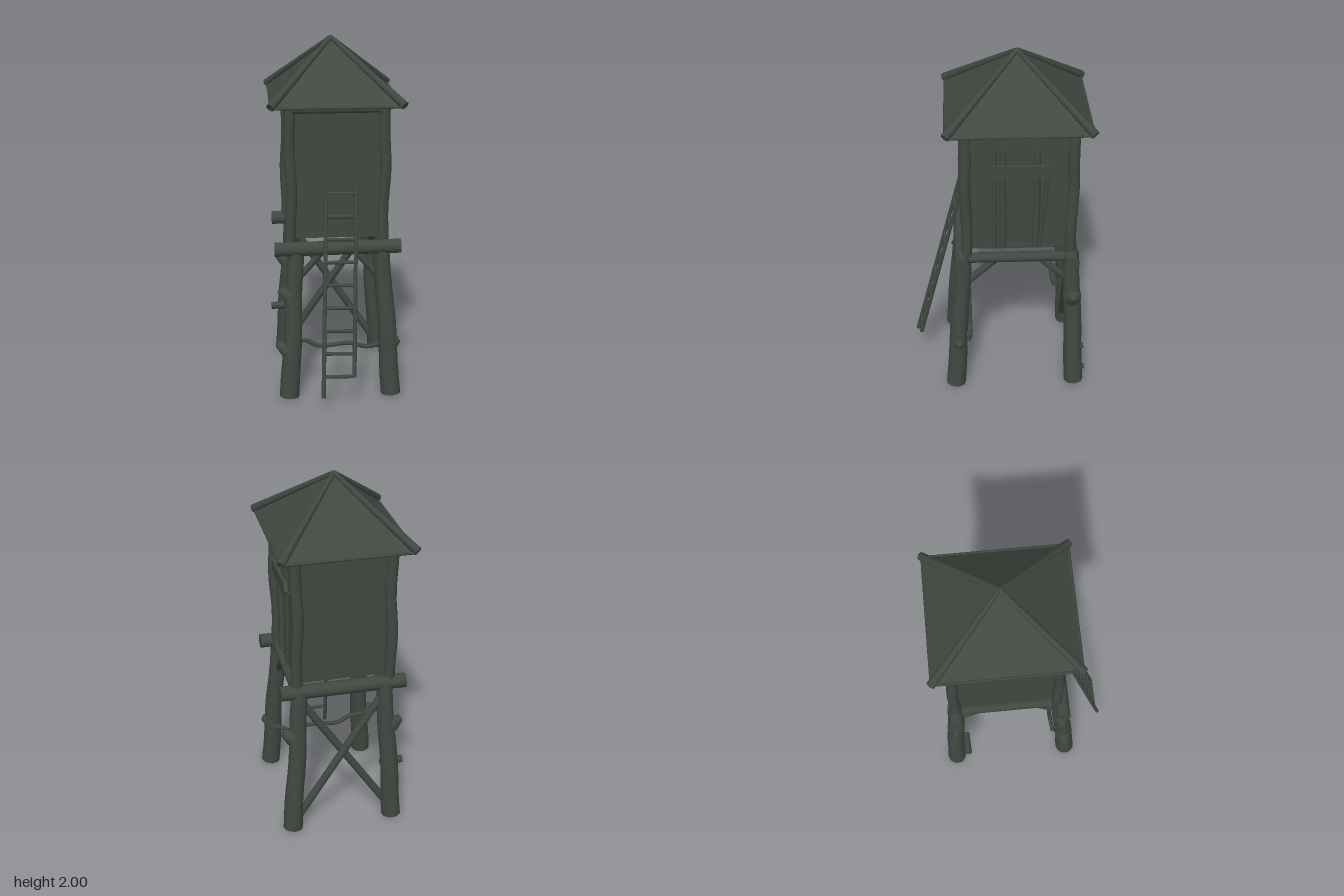
import * as THREE from 'three';

const wood = new THREE.MeshStandardMaterial({ color: 0x404841 });
wood.name = 'dark weathered wood';

export function createModel() {
  const root = new THREE.Group();
  root.name = 'watchtower';
  const V = (p) => new THREE.Vector3(...p);

  const add = (name, geo) => {
    const m = new THREE.Mesh(geo, wood);
    m.name = name;
    root.add(m);
    return m;
  };

  // Tapered round log between two points, with an optional gentle wobble
  const log = (name, a, b, r1, r2 = r1, wobble = 0, sides = 10) => {
    const A = V(a), B = V(b), d = B.clone().sub(A), len = d.length();
    const g = new THREE.CylinderGeometry(r2, r1, len, sides, wobble ? 10 : 1);
    if (wobble) {
      const p = g.attributes.position;
      for (let i = 0; i < p.count; i++) {
        const t = p.getY(i) / len + 0.5;
        const w = Math.sin(t * 8 + a[0] * 9 + a[2] * 5) * wobble * Math.sin(Math.PI * t);
        p.setX(i, p.getX(i) + w);
        p.setZ(i, p.getZ(i) + w * 0.8);
      }
      g.computeVertexNormals();
    }
    const m = add(name, g);
    m.position.copy(A).add(B).multiplyScalar(0.5);
    m.quaternion.setFromUnitVectors(new THREE.Vector3(0, 1, 0), d.normalize());
    return m;
  };

  const box = (name, x0, x1, y0, y1, z0, z1) => {
    const m = add(name, new THREE.BoxGeometry(x1 - x0, y1 - y0, z1 - z0));
    m.position.set((x0 + x1) / 2, (y0 + y1) / 2, (z0 + z1) / 2);
    return m;
  };

  // Splayed legs and the cabin corner posts above them
  const corners = [
    { foot: [-0.27, 0, 0.26], top: [-0.22, 0.88, 0.2], post: [-0.25, 0.185] },
    { foot: [0.31, 0, 0.26], top: [0.252, 0.88, 0.2], post: [0.265, 0.185] },
    { foot: [-0.27, 0, -0.435], top: [-0.22, 0.88, -0.395], post: [-0.25, -0.39] },
    { foot: [0.31, 0, -0.435], top: [0.252, 0.88, -0.395], post: [0.265, -0.39] },
  ];
  corners.forEach(({ foot, top, post: [x, z] }) => {
    log('leg', foot, top, 0.056, 0.045, 0.005, 12);
    log('cornerPost', [x, 0.88, z], [x, 1.67, z], 0.031, 0.033, 0.008);
  });

  // Broken branch stubs on the legs
  [[-0.265, 0.62, 0.22], [-0.28, 0.3, 0.24], [0.3, 0.31, 0.24],
    [-0.265, 0.62, -0.41], [0.3, 0.62, -0.41]].forEach(([x, y, z]) => {
    const s = Math.sign(x);
    log('branchStub', [x, y - 0.02, z], [x + s * 0.055, y + 0.01, z], 0.055, 0.018, 0, 7);
  });
  log('branchStub', [0.31, 0.24, -0.44], [0.31, 0.25, -0.485], 0.022, 0.015, 0, 7);
  log('branchStub', [0.31, 0.09, -0.45], [0.31, 0.09, -0.495], 0.022, 0.015, 0, 7);
  log('legPeg', [-0.22, 0.31, -0.36], [-0.35, 0.31, -0.355], 0.02, 0.022);

  // Platform beams
  log('frontBeam', [-0.34, 0.865, 0.215], [0.36, 0.87, 0.215], 0.04, 0.04, 0, 12);
  log('backBeam', [-0.34, 0.865, -0.395], [0.36, 0.87, -0.395], 0.04, 0.04, 0, 12);
  [-0.24, 0.265].forEach((x) => log('sideBeam', [x, 0.862, 0.21], [x, 0.862, -0.39], 0.029));

  // Crossed braces at the back, knee braces on the sides and front
  log('crossBrace', [0.28, 0.06, -0.43], [-0.2, 0.78, -0.4], 0.022);
  log('crossBrace', [-0.25, 0.06, -0.415], [0.23, 0.78, -0.385], 0.022);
  [-0.23, 0.26].forEach((x) => {
    log('kneeBrace', [x, 0.7, 0.18], [x, 0.85, 0.02], 0.02);
    log('kneeBrace', [x, 0.7, -0.38], [x, 0.85, -0.22], 0.02);
  });
  log('kneeBrace', [-0.2, 0.7, 0.2], [-0.07, 0.85, 0.2], 0.018);
  log('kneeBrace', [0.23, 0.7, 0.2], [0.1, 0.85, 0.2], 0.018);

  // Crooked branch tied between the front legs
  const branch = new THREE.CatmullRomCurve3([[-0.26, 0.3, 0.18], [-0.17, 0.3, 0.17],
    [-0.1, 0.265, 0.17], [0.08, 0.275, 0.17], [0.18, 0.25, 0.17], [0.29, 0.28, 0.19]].map(V));
  add('crookedBranch', new THREE.TubeGeometry(branch, 20, 0.013, 7));

  // Cabin walls with the floor at their lower edge
  box('cabin', -0.24, 0.262, 0.92, 1.67, -0.39, 0.19);
  [0.195, -0.395].forEach((z) => log('wallTopRail', [-0.25, 1.64, z], [0.265, 1.64, z], 0.02));
  log('wallTopRail', [-0.247, 1.64, 0.18], [-0.247, 1.64, -0.39], 0.02);

  // Boarded doorway on the left wall
  box('lintel', 0.255, 0.28, 1.53, 1.63, -0.36, 0.16);
  const gusset = new THREE.Shape([[-0.15, 1.53], [-0.15, 1.4], [-0.04, 1.53]]
    .map((p) => new THREE.Vector2(...p)));
  const gussetMesh = add('cornerGusset',
    new THREE.ExtrudeGeometry(gusset, { depth: 0.012, bevelEnabled: false }));
  gussetMesh.rotation.y = Math.PI / 2;
  gussetMesh.position.x = 0.262;
  [[0.03, 0.013], [-0.015, 0.019], [-0.195, 0.02]].forEach(([z, r]) =>
    log('doorPole', [0.272, 0.94, z], [0.272, 1.545, z], r, r, 0.003, 8));
  log('leaningPole', [0.28, 0.95, -0.215], [0.285, 1.4, -0.255], 0.01, 0.014, 0, 8);
  box('doorSill', 0.258, 0.272, 0.925, 0.945, -0.24, 0.06);
  const plank = new THREE.Shape([[-0.075, 1.43], [-0.045, 1.385], [0.25, 1.39], [0.3, 1.425],
    [0.265, 1.465], [0.15, 1.46], [-0.05, 1.465]].map((p) => new THREE.Vector2(...p)));
  const plankMesh = add('crossPlank',
    new THREE.ExtrudeGeometry(plank, { depth: 0.018, bevelEnabled: false }));
  plankMesh.rotation.y = Math.PI / 2;
  plankMesh.position.x = 0.287;

  // Pyramid roof with closed underside
  const apex = [-0.005, 1.985, -0.1];
  const eave = [[-0.35, 1.665, 0.285], [0.355, 1.665, 0.285],
    [0.355, 1.665, -0.48], [-0.35, 1.665, -0.48]];
  const tri = [];
  eave.forEach((c, i) => tri.push(...c, ...eave[(i + 1) % 4], ...apex));
  tri.push(...eave[0], ...eave[2], ...eave[1], ...eave[0], ...eave[3], ...eave[2]);
  const roof = new THREE.BufferGeometry();
  roof.setAttribute('position', new THREE.Float32BufferAttribute(tri, 3));
  roof.computeVertexNormals();
  add('roof', roof);

  // Hip logs and thin eave poles
  eave.forEach((c, i) => {
    const n = eave[(i + 1) % 4];
    log('eavePole', c, n, 0.008, 0.008, 0, 6);
    const out = [c[0] + Math.sign(c[0]) * 0.004, 1.672, c[2] + (c[2] > 0 ? 0.002 : -0.004)];
    log('hipLog', out, [apex[0], 1.988, apex[2]], 0.024, 0.013, 0, 8);
  });

  // Leaning ladder
  const lean = (y) => 0.49 - (y - 0.09) * 0.25;
  const railX = [(y) => -0.092 + (y - 0.09) * 0.034, (y) => 0.08 + (y - 0.2) * 0.032];
  railX.forEach((fx, i) => {
    const y0 = i ? 0.2 : 0.09;
    log('ladderRail', [fx(y0), y0, lean(y0)], [fx(1.255), 1.255, lean(1.255)], 0.012, 0.01, 0, 8);
  });
  for (let i = 0; i < 9; i++) {
    const y = 0.205 + i * 0.122;
    log('ladderRung', [railX[0](y), y, lean(y)], [railX[1](y), y - 0.004, lean(y)], 0.01, 0.01, 0, 7);
  }

  return root;
}
